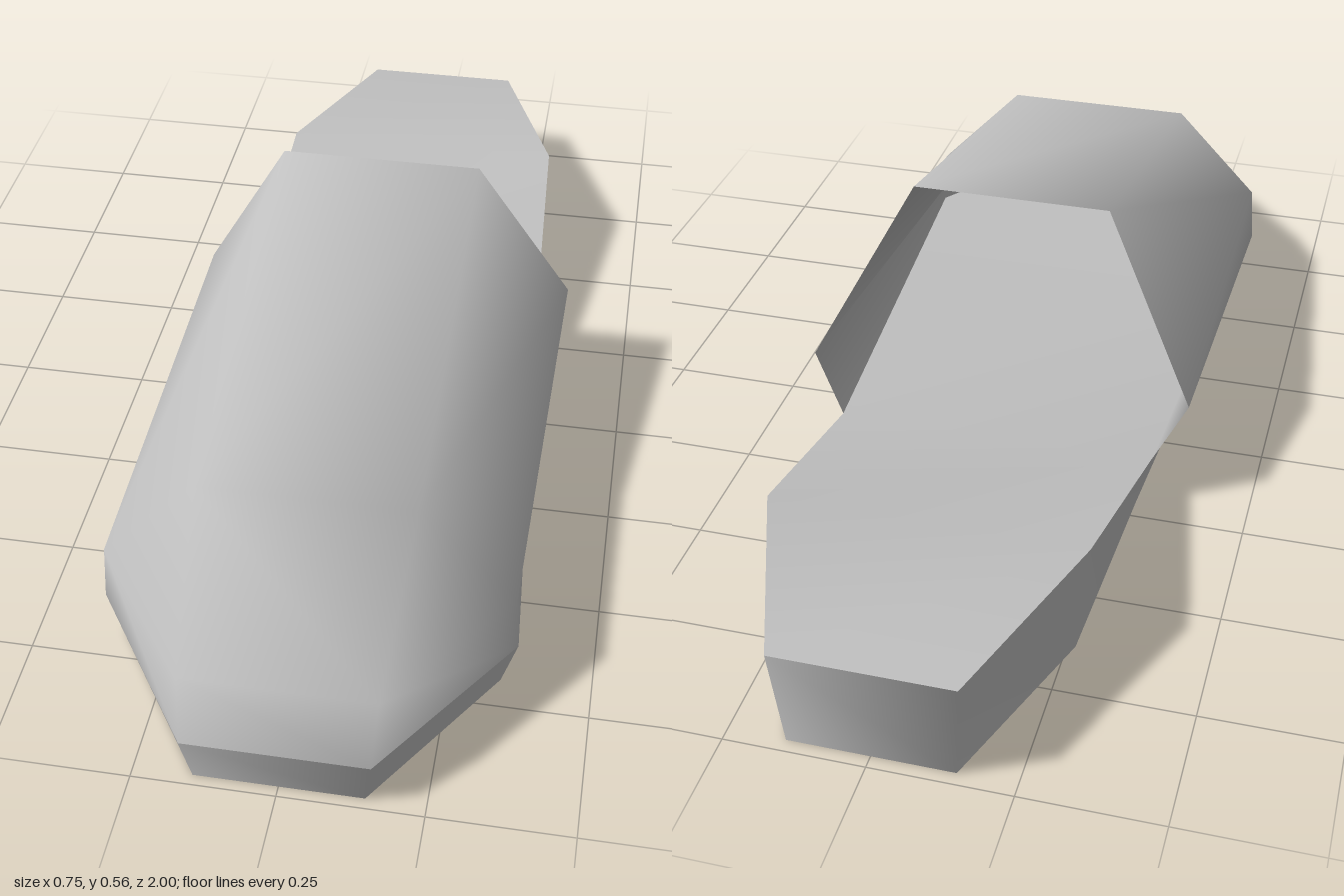
import * as THREE from 'three';

const grey = new THREE.MeshStandardMaterial({ color: 0xc0c0c0, side: THREE.DoubleSide });
grey.name = 'grey';

// Smooth surface from points and convex polygons (corners counter-clockwise from outside)
function surface(name, points, polygons) {
  const index = [];
  for (const p of polygons) {
    for (let i = 1; i < p.length - 1; i++) index.push(p[0], p[i], p[i + 1]);
  }
  const geometry = new THREE.BufferGeometry();
  geometry.setAttribute('position', new THREE.Float32BufferAttribute(points.flat(), 3));
  geometry.setIndex(index);
  geometry.computeVertexNormals();
  const mesh = new THREE.Mesh(geometry, grey);
  mesh.name = name;
  return mesh;
}

// Left half followed by its mirror image in reverse order
const mirrored = half => [...half, ...half.map(([x, y, z]) => [-x, y, z]).reverse()];

// Quads between a lower row starting at a and an upper row starting at b
function strip(a, b, count, closed) {
  const quads = [];
  for (let i = 0; i < (closed ? count : count - 1); i++) {
    const j = (i + 1) % count;
    quads.push([a + i, b + i, b + j, a + j]);
  }
  return quads;
}

export function createModel() {
  const group = new THREE.Group();
  group.name = 'slipper';

  // Sole outlines, heel to toe
  const topEdge = mirrored([
    [0.16, 0.205, -1], [0.29, 0.232, -0.645], [0.31, 0.104, -0.205],
    [0.368, 0.104, 0.7], [0.16, 0.104, 1],
  ]);
  const bottomEdge = mirrored([
    [0.147, 0, -0.975], [0.265, 0, -0.635], [0.285, 0, -0.205],
    [0.34, 0, 0.69], [0.147, 0, 0.98],
  ]);
  const n = topEdge.length;
  const cross = [0, 1, 2, 3].map(i => [i, n - 1 - i, n - 2 - i, i + 1]);
  group.add(surface('soleSide', [...bottomEdge, ...topEdge], strip(0, n, n, true)));
  group.add(surface('insole', topEdge, cross));
  group.add(surface('soleBottom', bottomEdge, cross.map(q => [...q].reverse())));

  // Upper: two rows around the foot and a roof, open at the back
  const lower = mirrored([[0.31, 0.104, -0.205], [0.368, 0.104, 0.7], [0.16, 0.104, 1]]);
  const middle = mirrored([[0.373, 0.218, -0.175], [0.361, 0.218, 0.7], [0.167, 0.218, 0.96]]);
  const roof = mirrored([[0.19, 0.562, -0.075], [0.19, 0.396, 0.7]]);
  group.add(surface('upper', [...lower, ...middle, ...roof], [
    ...strip(0, 6, 6, false),
    [6, 12, 13, 7], [7, 13, 8], [8, 13, 14, 9], [9, 14, 10], [10, 14, 15, 11],
    [12, 15, 14, 13],
  ]));
  return group;
}
